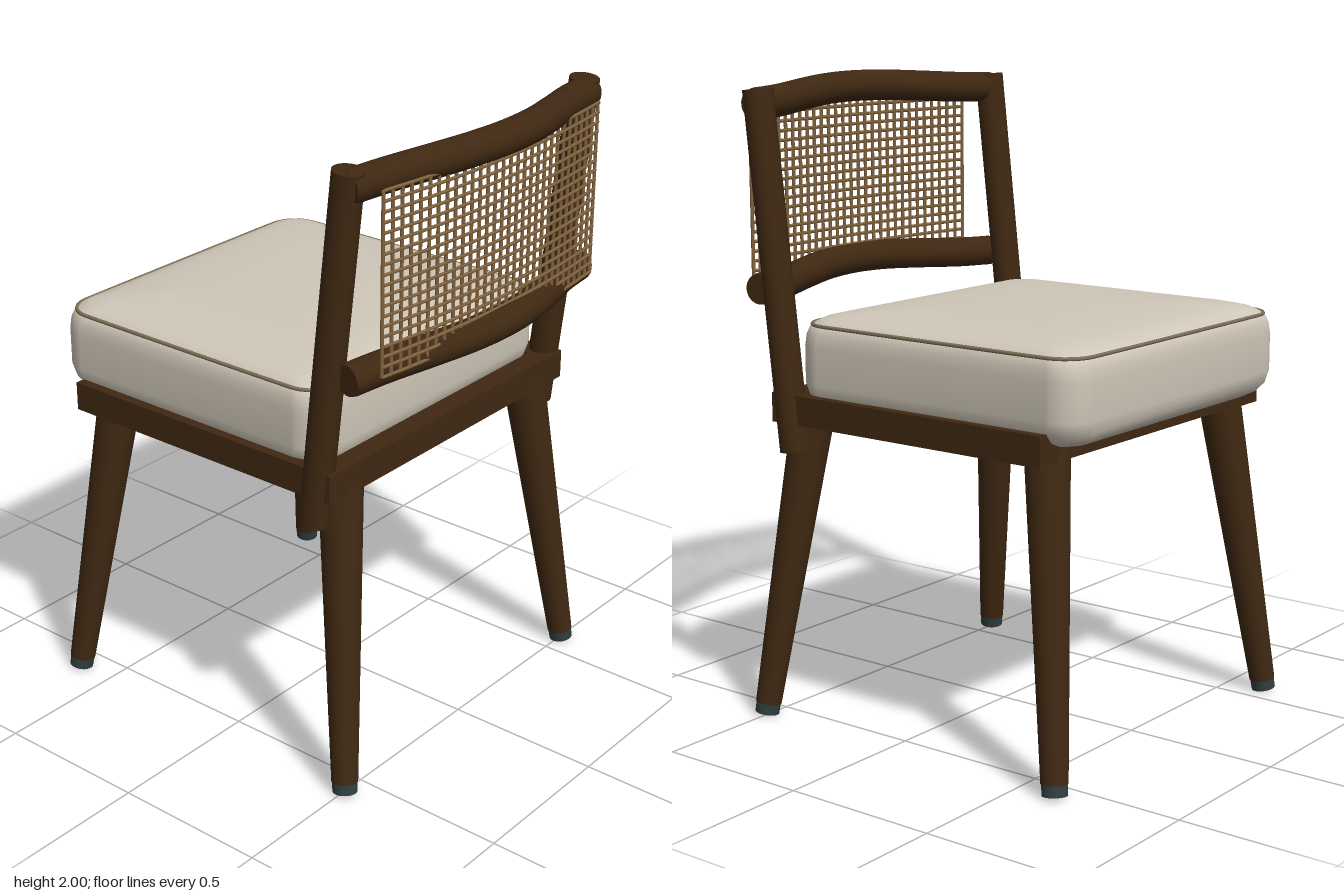
import * as THREE from 'three';

const V = (x, y, z) => new THREE.Vector3(x, y, z);

export function createModel() {
  const chair = new THREE.Group();
  chair.name = 'chair';
  const mat = (name, color) => {
    const m = new THREE.MeshStandardMaterial({ color });
    m.name = name;
    return m;
  };
  const wood = mat('dark wood', 0x3f2812);
  const fabric = mat('cream fabric', 0xcfc7b8);
  const pipingMat = mat('taupe piping', 0x7d6e57);
  const caneMat = mat('woven cane', 0x83643f);
  const capMat = mat('foot cap', 0x2f3f3f);

  const add = (name, geo, material, parent = chair) => {
    const m = new THREE.Mesh(geo, material);
    m.name = name;
    parent.add(m);
    return m;
  };
  // Round bar from a to b, with a radius at each end
  const rod = (name, a, b, ra, rb, material, parent = chair, sides = 24) => {
    const d = b.clone().sub(a);
    const m = add(name, new THREE.CylinderGeometry(rb, ra, d.length(), sides), material, parent);
    m.position.copy(a).addScaledVector(d, 0.5);
    m.quaternion.setFromUnitVectors(V(0, 1, 0), d.normalize());
    return m;
  };
  const box = (name, x0, x1, y0, y1, z0, z1, material) => {
    const m = add(name, new THREE.BoxGeometry(x1 - x0, y1 - y0, z1 - z0), material);
    m.position.set((x0 + x1) / 2, (y0 + y1) / 2, (z0 + z1) / 2);
    return m;
  };

  // Splayed tapered legs with foot caps, and the leaning back posts
  for (const s of [1, -1]) {
    const side = s > 0 ? 'left' : 'right';
    for (const [label, zTop, zFoot] of [['Back', 0.39, 0.505], ['Front', -0.51, -0.63]]) {
      const top = V(s * 0.462, 0.98, zTop), foot = V(s * 0.582, 0.003, zFoot);
      const ankle = foot.clone().lerp(top, 0.035);
      rod(side + label + 'Leg', ankle, top, 0.041, 0.068, wood);
      rod(side + label + 'FootCap', foot, ankle, 0.038, 0.039, capMat);
    }
    rod(side + 'BackPost', V(s * 0.565, 0.872, 0.375), V(s * 0.565, 1.97, 0.5), 0.047, 0.047, wood);
    box(side + 'SeatRail', s > 0 ? 0.5 : -0.585, s > 0 ? 0.585 : -0.5, 0.958, 1.05, -0.575, 0.42, wood);
  }

  // Seat frame
  box('backSeatRail', -0.585, 0.585, 0.958, 1.05, 0.38, 0.45, wood);
  box('frontSeatRail', -0.57, 0.57, 0.96, 1.045, -0.572, -0.5, wood);
  box('seatBoard', -0.51, 0.51, 0.966, 1.01, -0.51, 0.39, wood);

  // Bowed top and bottom rails of the backrest
  const bowedRail = (name, yEnd, yMid, half) => {
    const g = new THREE.Group();
    g.name = name;
    chair.add(g);
    const pts = [[-1, 0.505], [-0.78, 0.527], [-0.5, 0.573], [-0.25, 0.609], [0, 0.622],
      [0.25, 0.609], [0.5, 0.573], [0.78, 0.527], [1, 0.505]]
      .map(([t, z]) => V(t * half, yEnd + (yMid - yEnd) * (z - 0.505) / 0.117, z));
    const curve = new THREE.CatmullRomCurve3(pts);
    add(name + 'Bar', new THREE.TubeGeometry(curve, 48, 0.05, 20), wood, g);
    for (const t of [0, 1]) {
      const end = curve.getPointAt(t);
      const dir = curve.getTangentAt(t).multiplyScalar(t ? 0.008 : -0.008);
      rod(name + 'End', end.clone().sub(dir), end.clone().add(dir), 0.05, 0.047, wood, g);
    }
  };
  bowedRail('topRail', 1.925, 1.95, 0.57);
  bowedRail('lowerRail', 1.362, 1.388, 0.567);

  // Cane panel: vertical and horizontal strands on a shallow curve
  const cane = new THREE.Group();
  cane.name = 'canePanel';
  chair.add(cane);
  const caneZ = x => 0.618 - 0.037 * (x / 0.52) ** 2;
  const cols = 30, rows = 19, y0 = 1.375, y1 = 1.918;
  for (let i = 0; i < cols; i++) {
    const x = -0.518 + 1.036 * i / (cols - 1);
    rod('verticalStrand', V(x, y0, caneZ(x)), V(x, y1, caneZ(x)), 0.0058, 0.0058, caneMat, cane, 6);
  }
  for (let j = 0; j < rows; j++) {
    const y = y0 + (y1 - y0) * j / (rows - 1);
    const pts = [];
    for (let k = 0; k <= 8; k++) {
      const x = -0.52 + 0.13 * k;
      pts.push(V(x, y, caneZ(x) + 0.002));
    }
    add('horizontalStrand', new THREE.TubeGeometry(new THREE.CatmullRomCurve3(pts), 24, 0.0055, 6), caneMat, cane);
  }

  // Rounded rectangle loop of the cushion, inset from its outer edge
  const N = 12;
  const loop = (inset, y) => {
    const hx = 0.562 - inset, hz = 0.53 - inset, r = Math.max(0.1 - inset * 0.3, 0.02);
    const out = [];
    for (let q = 0; q < 4; q++) {
      const sx = q === 0 || q === 3 ? 1 : -1, sz = q < 2 ? 1 : -1;
      for (let k = 0; k <= N; k++) {
        const a = (q + k / N) * Math.PI / 2;
        out.push(V(sx * (hx - r) + r * Math.cos(a), y, -0.145 + sz * (hz - r) + r * Math.sin(a)));
      }
    }
    return out;
  };

  // Plump cushion skinned over the loops, closed at top and bottom
  const sections = [[0.1, 1.0], [0.06, 1.004], [0.03, 1.02], [0.01, 1.045], [0, 1.085], [0, 1.2],
    [0.004, 1.235], [0.012, 1.256], [0.025, 1.27], [0.05, 1.284], [0.1, 1.297], [0.2, 1.305], [0.35, 1.309]];
  const pos = [], idx = [], M = 4 * (N + 1);
  for (const [inset, y] of sections) for (const p of loop(inset, y)) pos.push(p.x, p.y, p.z);
  const bottom = pos.length / 3, top = bottom + 1, last = (sections.length - 1) * M;
  pos.push(0, 1.0, -0.145, 0, 1.31, -0.145);
  for (let i = 0; i < M; i++) {
    const n = (i + 1) % M;
    for (let s = 0; s < sections.length - 1; s++) {
      const a = s * M + i, b = s * M + n;
      idx.push(a, a + M, b, b, a + M, b + M);
    }
    idx.push(bottom, i, n, top, last + n, last + i);
  }
  const cushion = new THREE.BufferGeometry();
  cushion.setAttribute('position', new THREE.Float32BufferAttribute(pos, 3));
  cushion.setIndex(idx);
  cushion.computeVertexNormals();
  add('seatCushion', cushion, fabric);

  // Piping around the cushion top
  const seam = new THREE.CatmullRomCurve3(loop(0.018, 1.265), true);
  add('cushionPiping', new THREE.TubeGeometry(seam, 160, 0.006, 8, true), pipingMat);

  return chair;
}
